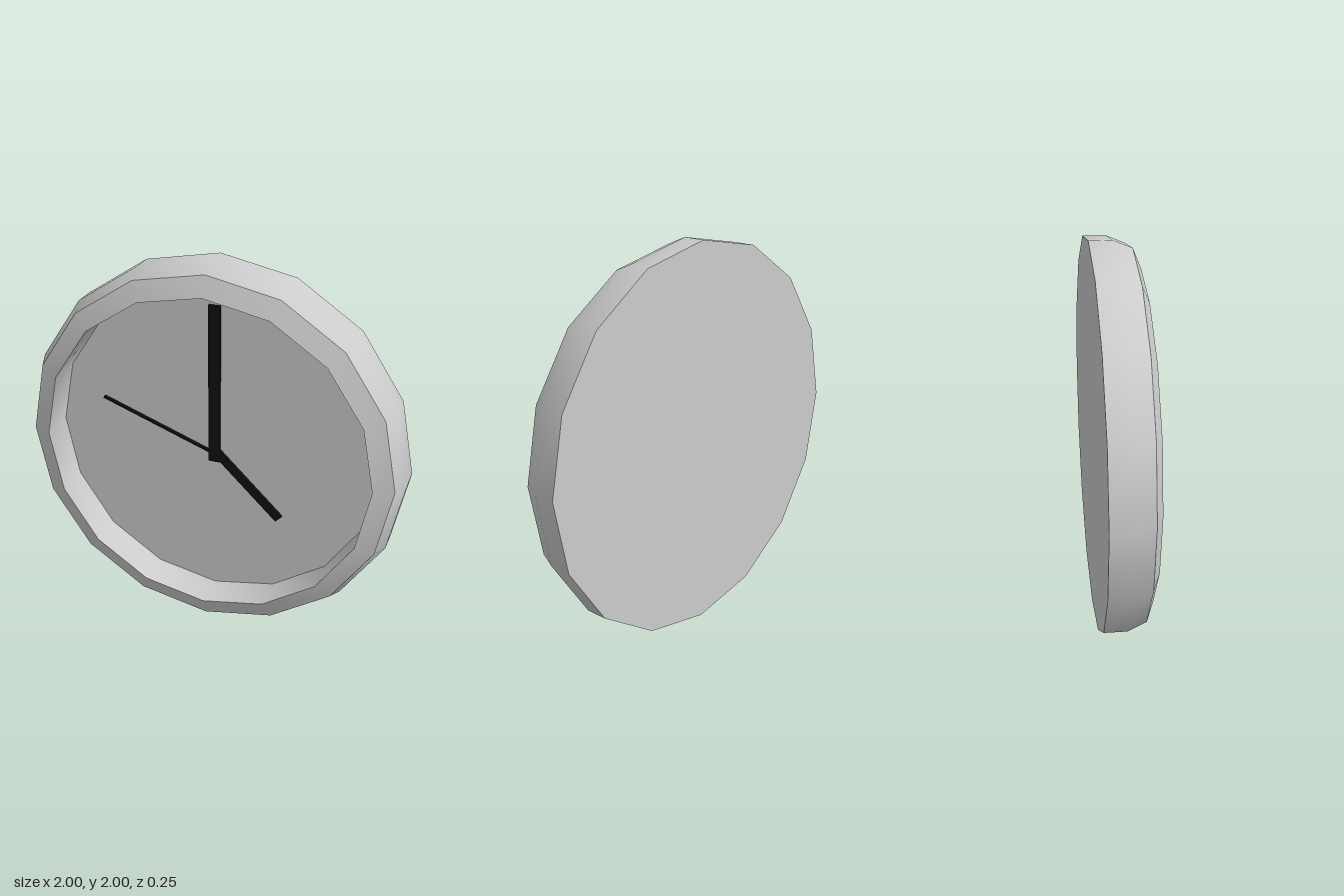
import * as THREE from 'three';
import { toCreasedNormals } from 'three/addons/utils/BufferGeometryUtils.js';

const SIDES = 16;
const BACK_Z = -0.125;
const DIAL_Z = -0.065;

export function createModel() {
  const group = new THREE.Group();
  group.name = 'wallClock';
  const grey = new THREE.MeshStandardMaterial({ color: 0xcccccc });
  const black = new THREE.MeshStandardMaterial({ color: 0x111111 });

  const add = (name, geometry, material, x, y, z) => {
    const mesh = new THREE.Mesh(geometry, material);
    mesh.name = name;
    mesh.position.set(x, y, z);
    group.add(mesh);
    return mesh;
  };

  // Case: outer wall, two bevels and the inner wall down to the dial
  const profile = [[1, BACK_Z], [1, -0.01], [0.96, 0.085], [0.86, 0.125], [0.86, DIAL_Z]]
    .map(([r, z]) => new THREE.Vector2(r, z));
  const rim = new THREE.LatheGeometry(profile, SIDES).rotateX(Math.PI / 2);
  add('case', toCreasedNormals(rim, 0.6), grey, 0, 1, 0);

  // Flat discs closing the back and forming the dial
  add('backPlate', new THREE.CircleGeometry(1, SIDES).rotateY(Math.PI), grey, 0, 1, BACK_Z);
  add('dial', new THREE.CircleGeometry(0.86, SIDES), grey, 0, 1, DIAL_Z);

  // Hands: thin bars laid from one point to another just above the dial
  const addHand = (name, [x0, y0], [x1, y1], width, z) => {
    const length = Math.hypot(x1 - x0, y1 - y0);
    const bar = new THREE.BoxGeometry(length, width, 0.016);
    const hand = add(name, bar, black, (x0 + x1) / 2, (y0 + y1) / 2, z);
    hand.rotation.z = Math.atan2(y1 - y0, x1 - x0);
  };
  addHand('minuteHand', [0, 0.915], [0, 1.765], 0.06, -0.045);
  addHand('hourHand', [0, 0.98], [0.355, 0.64], 0.046, -0.047);
  addHand('secondHand', [0, 0.957], [-0.613, 1.177], 0.012, -0.049);

  return group;
}
